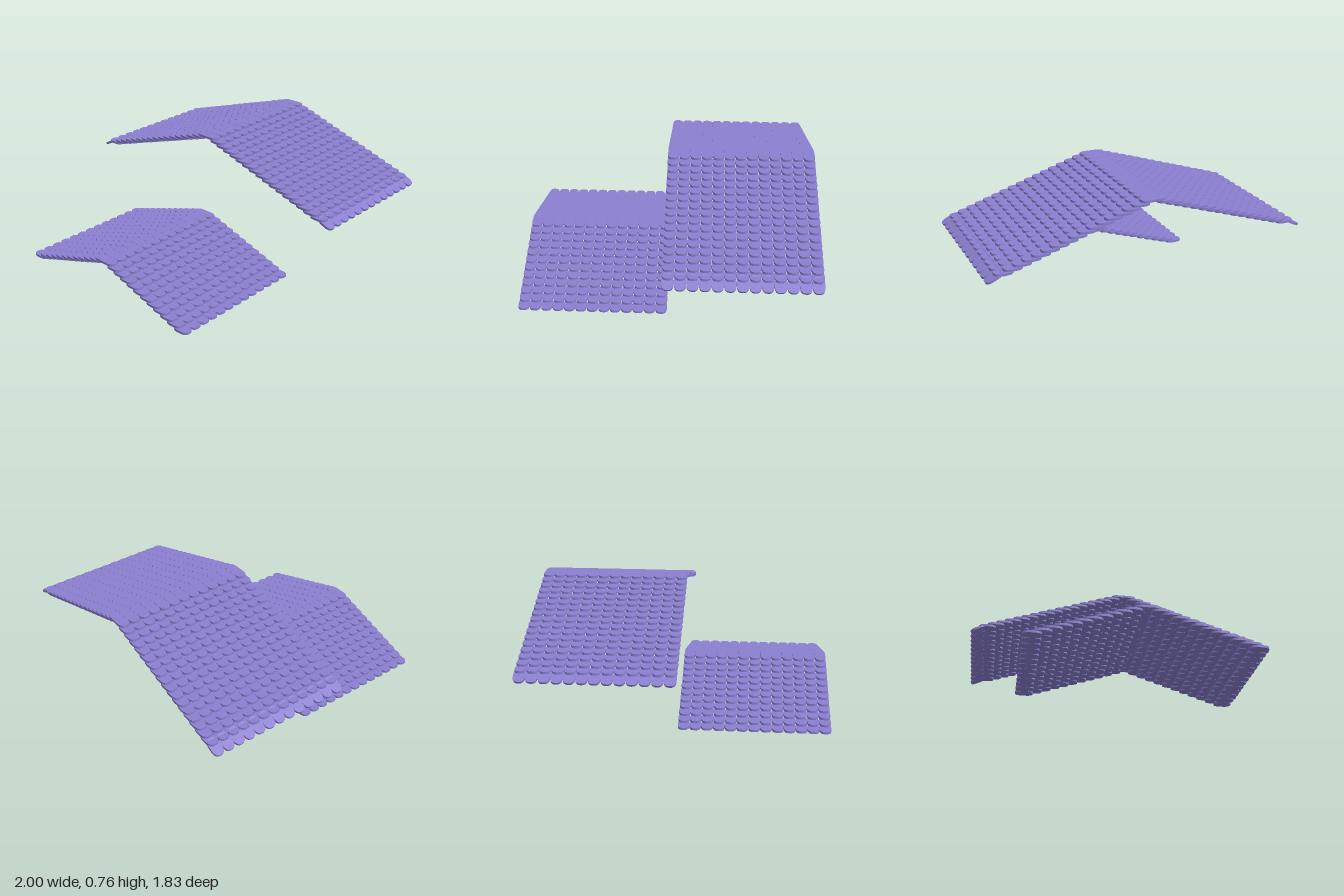
import * as THREE from 'three';
import { mergeGeometries } from 'three/addons/utils/BufferGeometryUtils.js';

const LENGTH = 0.11, WIDTH = 0.0712, THICK = 0.014, PITCH = 0.0711, COLUMNS = 13;

// Flat shingle with softly rounded ends, lying in the xz plane
function tileGeometry() {
  const points = [];
  const n = 24;
  const bulge = (v) => Math.sign(v) * Math.pow(Math.abs(v), 2 / 2.8);
  for (let i = 0; i < n; i++) {
    const a = (i / n) * Math.PI * 2;
    points.push(new THREE.Vector2(
      bulge(Math.cos(a)) * LENGTH / 2, bulge(Math.sin(a)) * WIDTH / 2));
  }
  const geo = new THREE.ExtrudeGeometry(new THREE.Shape(points), { depth: THICK, bevelEnabled: false });
  geo.translate(0, 0, -THICK / 2);
  geo.rotateX(-Math.PI / 2);
  return geo;
}

export function createModel() {
  const model = new THREE.Group();
  model.name = 'tiledRoofs';
  const material = new THREE.MeshStandardMaterial({ color: 0x8a7fd0 });

  // One strip of tiles running front to back
  const tile = tileGeometry();
  const strip = [];
  for (let i = 0; i < COLUMNS; i++) {
    strip.push(tile.clone().translate(0, 0, (i - (COLUMNS - 1) / 2) * PITCH));
  }
  const courseGeometry = mergeGeometries(strip);

  // Gable roof: courses step down from the ridge on both sides
  function addRoof(name, { rows, ridgeY, drop, step, z, tiltedEave }) {
    const roof = new THREE.Group();
    roof.name = name;
    roof.position.z = z;
    for (const side of [1, -1]) {
      const slope = new THREE.Group();
      slope.name = side > 0 ? 'leftSlope' : 'rightSlope';
      for (let k = 0; k < rows; k++) {
        const course = new THREE.Mesh(courseGeometry, material);
        const eave = tiltedEave && k === rows - 1;
        course.name = eave ? 'eaveCourse' : 'tileCourse';
        course.position.set(side * (0.025 + k * step), ridgeY - k * drop, 0);
        if (eave) course.rotation.z = -side * 0.44;
        slope.add(course);
      }
      roof.add(slope);
    }
    model.add(roof);
  }

  addRoof('upperRoof', { rows: 18, ridgeY: 0.751, drop: 0.0176, step: 0.0542, z: -0.453, tiltedEave: true });
  addRoof('lowerRoof', { rows: 12, ridgeY: 0.211, drop: 0.01845, step: 0.0557, z: 0.453, tiltedEave: false });
  return model;
}
